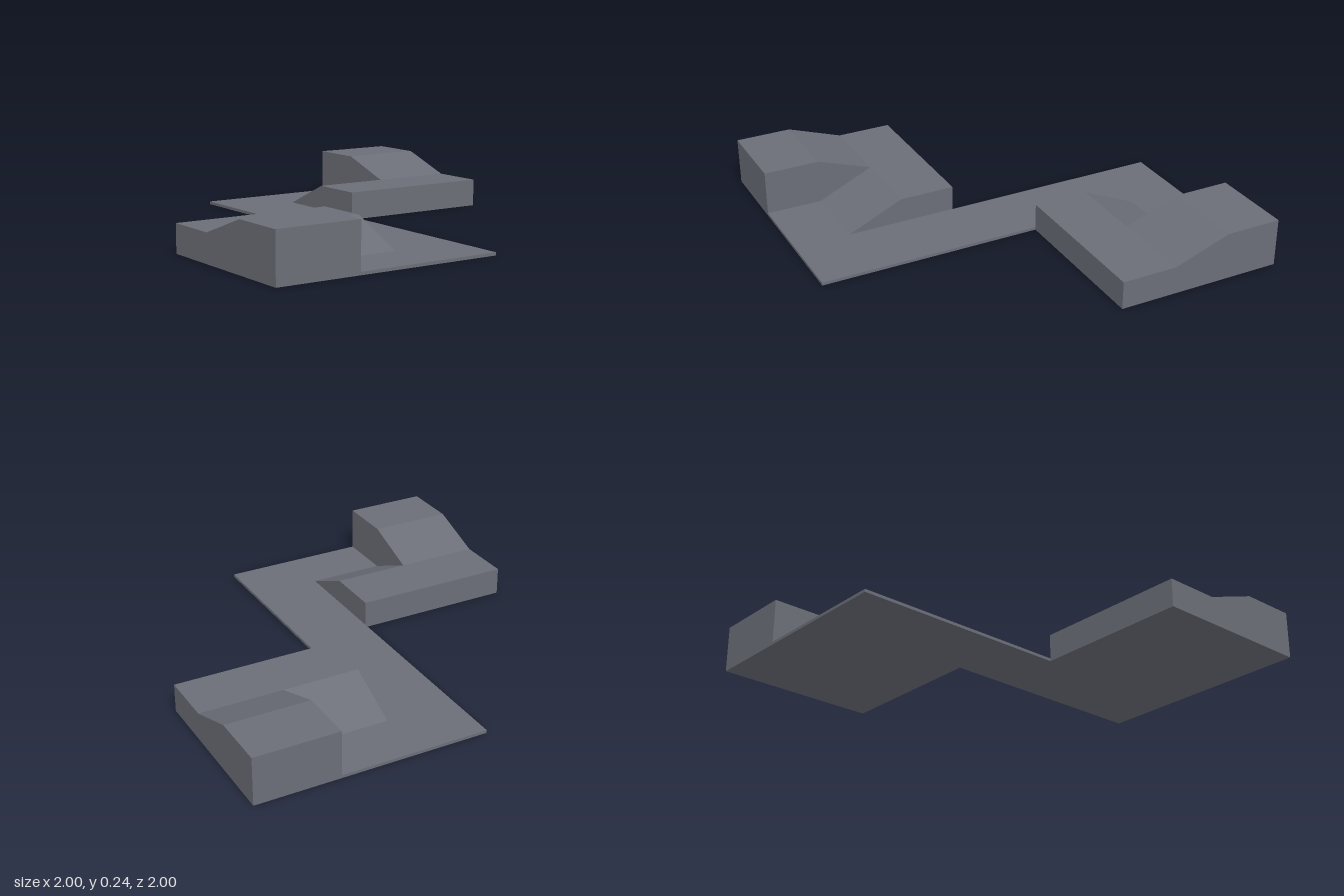
import * as THREE from 'three';

const FLOOR = 0.015, MID = 0.143, HIGH = 0.243;
const INNER = 0.143, FOOT = 0.428, TOE = 0.713, END = 1;
const HALF_PATH = 0.18, SPLIT = 0.573;

export function createModel() {
  const model = new THREE.Group();
  const slate = new THREE.MeshStandardMaterial({ color: 0x6b6e77 });
  slate.name = 'slateGrey';

  const add = (parent, name, geometry) => {
    const mesh = new THREE.Mesh(geometry, slate);
    mesh.name = name;
    parent.add(mesh);
    return mesh;
  };

  // Extrudes a side profile of [z, y] points between two x positions
  const strip = (points, x0, x1) => {
    const shape = new THREE.Shape(points.map(([z, y]) => new THREE.Vector2(z, y)));
    const geometry = new THREE.ExtrudeGeometry(shape, { depth: x1 - x0, bevelEnabled: false });
    geometry.rotateY(-Math.PI / 2);
    geometry.translate(x1, 0, 0);
    return geometry;
  };

  // Thin central walkway running front to back
  add(model, 'walkway', new THREE.BoxGeometry(HALF_PATH * 2, FLOOR, 2)).position.y = FLOOR / 2;

  // Two identical wings, turned half a circle from each other
  ['frontWing', 'backWing'].forEach((name, i) => {
    const wing = new THREE.Group();
    wing.name = name;
    wing.rotation.y = i * Math.PI;

    // Middle platform, ramping up to the high platform
    add(wing, 'upperRamp', strip(
      [[INNER, 0], [END, 0], [END, HIGH], [TOE, HIGH], [FOOT, MID], [INNER, MID]],
      -1, -SPLIT));

    // Middle platform, ramping down to the floor plate
    add(wing, 'lowerRamp', strip(
      [[INNER, 0], [END, 0], [END, FLOOR], [TOE, FLOOR], [FOOT, MID], [INNER, MID]],
      -SPLIT, -HALF_PATH));

    model.add(wing);
  });

  return model;
}
